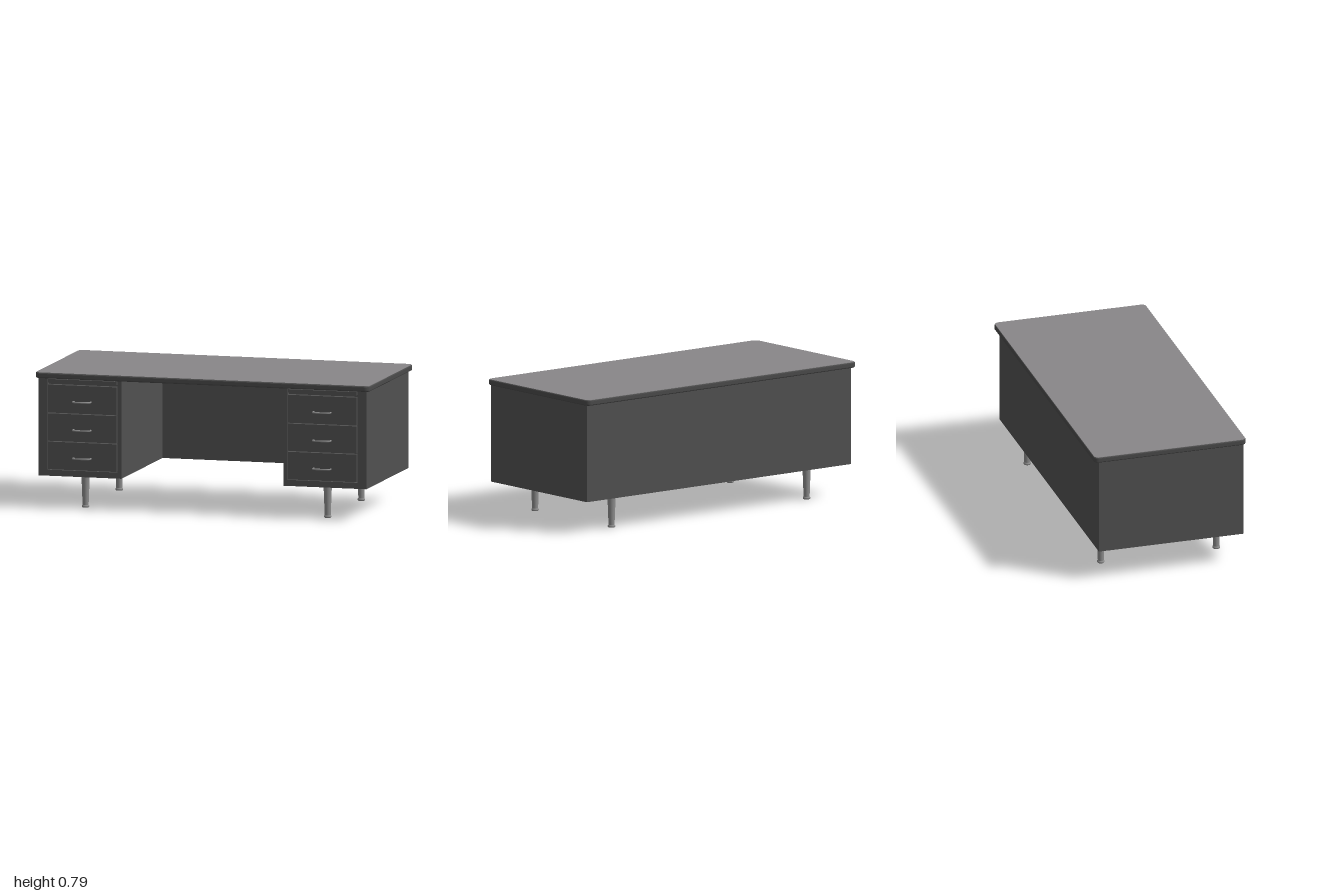
import * as THREE from 'three';

const mat = (name, color) => Object.assign(new THREE.MeshStandardMaterial({ color }), { name });

export function createModel() {
  const desk = new THREE.Group();
  desk.name = 'desk';
  const bodyPaint = mat('darkGreyPaint', 0x505050);
  const topLaminate = mat('greyLaminate', 0x888688);
  const trim = mat('darkTrim', 0x4a4a4a);
  const metal = mat('brushedMetal', 0x8c8c8c);

  const add = (parent, name, geometry, material, x = 0, y = 0, z = 0) => {
    const mesh = new THREE.Mesh(geometry, material);
    mesh.name = name;
    mesh.position.set(x, y, z);
    parent.add(mesh);
    return mesh;
  };
  // Box given by its minimum and maximum corners
  const box = (parent, name, material, [x0, y0, z0], [x1, y1, z1]) =>
    add(parent, name, new THREE.BoxGeometry(x1 - x0, y1 - y0, z1 - z0), material,
      (x0 + x1) / 2, (y0 + y1) / 2, (z0 + z1) / 2);

  const roundedRect = (w, h, r) => {
    const s = new THREE.Shape();
    const x = w / 2, y = h / 2;
    s.absarc(x - r, y - r, r, 0, Math.PI / 2);
    s.absarc(-x + r, y - r, r, Math.PI / 2, Math.PI);
    s.absarc(-x + r, -y + r, r, Math.PI, Math.PI * 1.5);
    s.absarc(x - r, -y + r, r, Math.PI * 1.5, Math.PI * 2);
    s.closePath();
    return s;
  };

  // Worktop: a dark slab with a rounded edge under a lighter laminate sheet
  const slab = new THREE.ExtrudeGeometry(roundedRect(1.984, 0.898, 0.022), {
    depth: 0.017, bevelThickness: 0.008, bevelSize: 0.008, bevelSegments: 4, curveSegments: 8,
  });
  slab.rotateX(-Math.PI / 2);
  add(desk, 'worktopEdge', slab, trim, 0, 0.761, -0.014);
  const sheet = new THREE.ExtrudeGeometry(roundedRect(1.992, 0.906, 0.026), {
    depth: 0.003, bevelEnabled: false, curveSegments: 8,
  });
  sheet.rotateX(-Math.PI / 2);
  add(desk, 'worktopSurface', sheet, topLaminate, 0, 0.784, -0.014);

  // Full width back panel
  box(desk, 'backPanel', bodyPaint, [-0.98, 0.187, -0.44], [0.98, 0.755, -0.42]);

  // Shared handle, leg and foot shapes
  const handlePath = new THREE.CatmullRomCurve3([
    [-0.05, 0], [-0.052, 0.018], [-0.042, 0.032], [-0.02, 0.036],
    [0.02, 0.036], [0.042, 0.032], [0.052, 0.018], [0.05, 0],
  ].map(([x, z]) => new THREE.Vector3(x, 0, z)));
  const handleShape = new THREE.TubeGeometry(handlePath, 28, 0.005, 8);
  const legShape = new THREE.LatheGeometry([
    [0, 0], [0.018, 0], [0.022, 0.004], [0.022, 0.010], [0.018, 0.014],
    [0.0175, 0.016], [0.024, 0.183],
  ].map(([x, y]) => new THREE.Vector2(x, y)), 24);

  for (const side of [-1, 1]) {
    const pedestal = new THREE.Group();
    pedestal.name = side > 0 ? 'leftPedestal' : 'rightPedestal';
    pedestal.position.x = side * 0.7325;
    desk.add(pedestal);
    const off = -side * 0.015; // the drawers sit towards the knee space

    // Cabinet with a framed opening at the front
    box(pedestal, 'cabinet', bodyPaint, [-0.2475, 0.187, -0.42], [0.2475, 0.755, 0.4]);
    const frame = new THREE.Shape();
    frame.moveTo(-0.2475, 0.187).lineTo(0.2475, 0.187).lineTo(0.2475, 0.755).lineTo(-0.2475, 0.755).closePath();
    const hole = new THREE.Path();
    hole.moveTo(off - 0.21, 0.222).lineTo(off - 0.21, 0.755 - 0.003)
      .lineTo(off + 0.21, 0.755 - 0.003).lineTo(off + 0.21, 0.222).closePath();
    frame.holes.push(hole);
    add(pedestal, 'frontFrame', new THREE.ExtrudeGeometry(frame, { depth: 0.028, bevelEnabled: false }),
      bodyPaint, 0, 0, 0.4);

    // Pull-out writing slide above the drawers
    box(pedestal, 'writingSlide', bodyPaint, [off - 0.204, 0.73, 0.4], [off + 0.204, 0.75, 0.436]);

    // Three drawers with looped handles
    [[0.556, 0.717, 0.624], [0.392, 0.55, 0.46], [0.226, 0.386, 0.296]].forEach(([y0, y1, grip]) => {
      box(pedestal, 'drawerFront', bodyPaint, [off - 0.205, y0, 0.4], [off + 0.205, y1, 0.432]);
      add(pedestal, 'drawerHandle', handleShape, metal, off, grip, 0.432);
    });

    // Tapered legs on square mounting plates
    for (const z of [0.343, -0.35]) {
      const x = -side * 0.0085;
      box(pedestal, 'legPlate', metal, [x - 0.047, 0.182, z - 0.047], [x + 0.047, 0.188, z + 0.047]);
      add(pedestal, 'leg', legShape, metal, x, 0, z);
    }
  }
  return desk;
}
